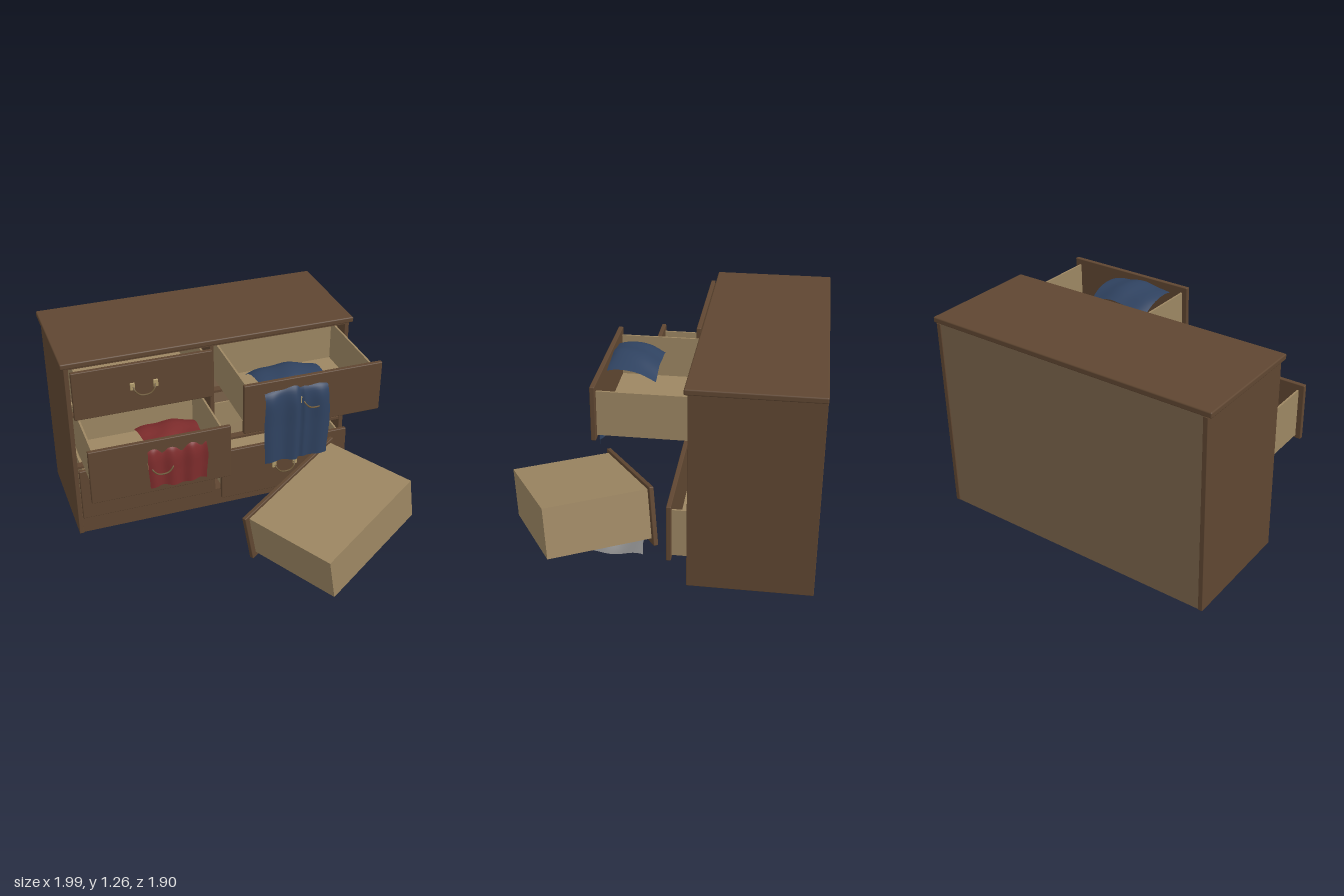
import * as THREE from 'three';
import { RoundedBoxGeometry } from 'three/addons/geometries/RoundedBoxGeometry.js';

const mat = (color, side = THREE.FrontSide) => new THREE.MeshStandardMaterial({ color, side });
const wood = mat(0x5f4631), lining = mat(0x9c8662), backWood = mat(0x7a634a);
const ivory = mat(0xb09a6a), brass = mat(0x6b5636);

// Box given by its minimum and maximum corners
function slab(parent, name, material, [x0, y0, z0], [x1, y1, z1], radius = 0) {
  const size = [x1 - x0, y1 - y0, z1 - z0];
  const geo = radius ? new RoundedBoxGeometry(...size, 2, radius) : new THREE.BoxGeometry(...size);
  const mesh = new THREE.Mesh(geo, material);
  mesh.name = name;
  mesh.position.set((x0 + x1) / 2, (y0 + y1) / 2, (z0 + z1) / 2);
  parent.add(mesh);
  return mesh;
}

// Drooping bail handle on two brackets
function createHandle() {
  const handle = new THREE.Group();
  handle.name = 'handle';
  for (const s of [-1, 1]) {
    slab(handle, 'handleBracket', ivory, [s * 0.072 - 0.015, -0.012, 0], [s * 0.072 + 0.015, 0.036, 0.012], 0.004);
  }
  const curve = new THREE.CatmullRomCurve3([
    [-0.068, 0.01, 0.008], [-0.062, -0.008, 0.024], [-0.035, -0.036, 0.03], [0, -0.043, 0.031],
    [0.035, -0.036, 0.03], [0.062, -0.008, 0.024], [0.068, 0.01, 0.008],
  ].map((p) => new THREE.Vector3(...p)));
  const bail = new THREE.Mesh(new THREE.TubeGeometry(curve, 24, 0.005, 8), brass);
  bail.name = 'handleBail';
  handle.add(bail);
  return handle;
}

// Open-topped drawer; origin is the bottom centre of the front panel's back face
function createDrawer(name, height) {
  const drawer = new THREE.Group();
  drawer.name = name;
  const w = 0.4, d = 0.62, t = 0.012, y0 = 0.02, y1 = height - 0.037;
  slab(drawer, 'drawerFront', wood, [-0.433, 0, 0], [0.433, height, 0.028], 0.005);
  slab(drawer, 'drawerBottom', lining, [-w, y0, -d], [w, y0 + t, 0]);
  slab(drawer, 'drawerBack', lining, [-w + t, y0 + t, -d], [w - t, y1, -d + t]);
  for (const s of [-1, 1]) {
    const a = s * w, b = s * (w - t);
    slab(drawer, 'drawerSide', lining, [Math.min(a, b), y0 + t, -d], [Math.max(a, b), y1, 0]);
  }
  const handle = createHandle();
  handle.position.set(0, height / 2, 0.028);
  drawer.add(handle);
  return drawer;
}

// Cloth sheet swept along a (z, y) path; fold(u) pushes the hanging part in z
function createCloth(name, color, x0, x1, path, fold, hump) {
  const curve = new THREE.CatmullRomCurve3(path.map(([z, y]) => new THREE.Vector3(0, y, z)));
  const geo = new THREE.PlaneGeometry(1, 1, 40, 48);
  const pos = geo.attributes.position;
  for (let i = 0; i < pos.count; i++) {
    const u = pos.getX(i) + 0.5, v = 0.5 - pos.getY(i);
    const p = curve.getPointAt(v);
    const hang = THREE.MathUtils.smoothstep(v, 0.3, 0.55);
    const lying = 1 - hang;
    const x = x0 + (x1 - x0) * u + 0.01 * Math.sin(v * 11) * (u - 0.4);
    const y = p.y + lying * (0.005 * Math.sin(u * 12 + v * 6) - hump * (2 * u - 1) ** 2)
      + hang * 0.006 * Math.sin(u * 9);
    pos.setXYZ(i, x, y, p.z + hang * fold(u));
  }
  geo.computeVertexNormals();
  const cloth = new THREE.Mesh(geo, mat(color, THREE.DoubleSide));
  cloth.name = name;
  return cloth;
}

// Crumpled cloth lying on the floor
function createFloorCloth() {
  const geo = new THREE.PlaneGeometry(0.46, 0.32, 32, 24);
  geo.rotateX(-Math.PI / 2);
  const pos = geo.attributes.position;
  for (let i = 0; i < pos.count; i++) {
    const x = pos.getX(i), z = pos.getZ(i);
    const bump = 0.035 * Math.exp(-((x - 0.13) ** 2 + (z - 0.03) ** 2) / 0.008);
    const y = 0.028 + 0.011 * Math.sin(x * 21 + z * 9) + 0.009 * Math.sin(z * 25 - x * 8) + bump;
    pos.setXYZ(i, x + 0.012 * Math.sin(z * 18), y, z + 0.015 * Math.sin(x * 14));
  }
  geo.computeVertexNormals();
  const cloth = new THREE.Mesh(geo, mat(0x808080, THREE.DoubleSide));
  cloth.name = 'floorCloth';
  cloth.position.set(0.375, 0, 0.23);
  return cloth;
}

function createCarcass() {
  const carcass = new THREE.Group();
  carcass.name = 'carcass';
  slab(carcass, 'topBoard', wood, [-1, 1.23, -0.95], [0.865, 1.265, -0.2], 0.008);
  slab(carcass, 'rightSide', wood, [-0.978, 0.01, -0.948], [-0.95, 1.23, -0.22], 0.003);
  slab(carcass, 'leftSide', wood, [0.817, 0.01, -0.948], [0.845, 1.23, -0.22], 0.003);
  slab(carcass, 'backPanel', backWood, [-0.95, 0.01, -0.943], [0.817, 1.23, -0.93]);
  slab(carcass, 'bottomPanel', wood, [-0.95, 0.118, -0.93], [0.817, 0.14, -0.222]);
  slab(carcass, 'plinth', wood, [-0.95, 0.01, -0.255], [0.817, 0.118, -0.23]);
  slab(carcass, 'divider', wood, [-0.079, 0.14, -0.93], [-0.055, 1.23, -0.222]);
  for (const [x0, x1] of [[-0.95, -0.079], [-0.055, 0.817]]) {
    for (const y of [0.517, 0.89, 1.222]) {
      slab(carcass, 'frontRail', wood, [x0, y - 0.008, -0.27], [x1, y + 0.008, -0.222]);
    }
  }
  return carcass;
}

export function createModel() {
  const model = new THREE.Group();
  model.name = 'dresser';
  model.add(createCarcass());

  // Drawers pulled out by different amounts: name, x, y, z, height
  for (const [name, x, y, z, h] of [
    ['topRightDrawer', -0.517, 0.9, -0.185, 0.32],
    ['middleRightDrawer', -0.517, 0.525, 0.152, 0.36],
    ['bottomRightDrawer', -0.517, 0.15, -0.213, 0.36],
    ['topLeftDrawer', 0.383, 0.9, 0.283, 0.32],
    ['bottomLeftDrawer', 0.383, 0.15, -0.128, 0.36],
  ]) {
    const drawer = createDrawer(name, h);
    drawer.position.set(x, y, z);
    model.add(drawer);
  }

  // Drawer lying upside down on the floor
  const fallen = createDrawer('fallenDrawer', 0.36);
  fallen.rotation.set(Math.PI, 0.49, 0.216, 'YZX');
  fallen.position.set(0.296, 0.447, 0.217);
  model.add(fallen);

  // Clothes hanging over the drawer fronts
  model.add(createCloth('blueTrousers', 0x2f4260, 0.07, 0.475,
    [[0.005, 1.15], [0.1, 1.195], [0.2, 1.207], [0.27, 1.195], [0.315, 1.16], [0.335, 1.1], [0.338, 0.9], [0.338, 0.68]],
    (u) => 0.009 * Math.sin(u * 16) - 0.022 * Math.exp(-(((u - 0.56) / 0.04) ** 2)), 0.035));
  model.add(createCloth('redShirt', 0x7d2c2c, -0.6, -0.24,
    [[-0.13, 0.81], [-0.04, 0.845], [0.06, 0.853], [0.13, 0.845], [0.175, 0.82], [0.193, 0.77], [0.196, 0.66], [0.196, 0.565]],
    (u) => 0.009 * Math.sin(u * 19), 0.025));
  model.add(createFloorCloth());
  return model;
}
